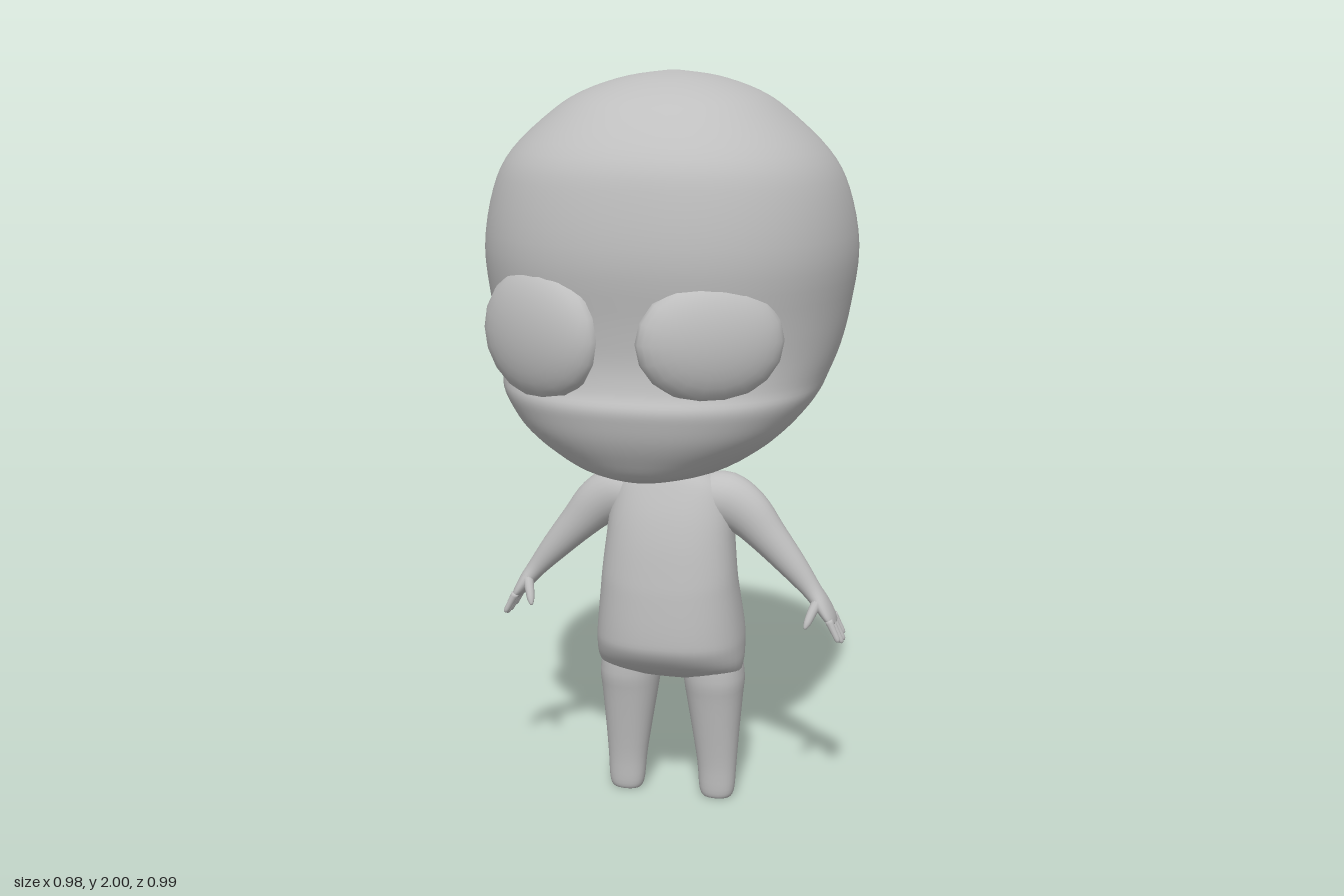
import * as THREE from 'three';

const skin = new THREE.MeshStandardMaterial({ color: 0xbfbfbf });
skin.name = 'plain grey';
skin.side = THREE.DoubleSide;

// Closed smooth skin over a stack of rings (arrays of Vector3)
function skinRings(rings) {
  const n = rings[0].length, pos = [], idx = [];
  rings.forEach(r => r.forEach(p => pos.push(p.x, p.y, p.z)));
  for (let i = 0; i < rings.length - 1; i++) for (let j = 0; j < n; j++) {
    const a = i * n + j, b = i * n + (j + 1) % n;
    idx.push(a, a + n, b, b, a + n, b + n);
  }
  [0, rings.length - 1].forEach((ri, end) => {
    const c = new THREE.Vector3();
    rings[ri].forEach(p => c.addScaledVector(p, 1 / n));
    const k = pos.length / 3;
    pos.push(c.x, c.y, c.z);
    for (let j = 0; j < n; j++) {
      const a = ri * n + j, b = ri * n + (j + 1) % n;
      if (end) idx.push(a, k, b); else idx.push(a, b, k);
    }
  });
  const g = new THREE.BufferGeometry();
  g.setAttribute('position', new THREE.Float32BufferAttribute(pos, 3));
  g.setIndex(idx);
  g.computeVertexNormals();
  return g;
}

// Catmull-Rom interpolation between rows of numbers
function smoothRows(rows, steps) {
  const out = [], last = rows.length - 1;
  const row = i => rows[Math.min(Math.max(i, 0), last)];
  for (let i = 0; i < last; i++) for (let s = 0; s < steps; s++) {
    const t = s / steps, [a, b, c, d] = [row(i - 1), row(i), row(i + 1), row(i + 2)];
    out.push(b.map((v, k) => v + 0.5 * t * (c[k] - a[k] +
      t * (2 * a[k] - 5 * v + 4 * c[k] - d[k] + t * (3 * (v - c[k]) + d[k] - a[k])))));
  }
  out.push(rows[last]);
  return out;
}

// Rows are [y, xCentre, halfWidth, zFront, zBack], from bottom to top
function stack(rows, nFront, nBack, seg, steps) {
  const pw = (v, n) => Math.sign(v) * Math.pow(Math.abs(v), 2 / n);
  return skinRings(smoothRows(rows, steps).map(([y, x, w, f, b]) =>
    Array.from({ length: seg }, (_, j) => {
      const t = j / seg * Math.PI * 2, c = Math.cos(t), s = Math.sin(t);
      const n = s > 0 ? nFront : nBack;
      return new THREE.Vector3(x + w * pw(c, n), y, (f + b) / 2 + (f - b) / 2 * pw(s, n));
    })));
}

// Tapered limb; rows are [x, y, z, radius in the front plane, radius in depth]
function limb(rows, side, seg, steps) {
  const r = smoothRows(rows.map(([x, ...q]) => [x * side, ...q]), steps);
  const pts = r.map(p => new THREE.Vector3(p[0], p[1], p[2]));
  return skinRings(pts.map((p, i) => {
    const T = pts[Math.min(i + 1, pts.length - 1)].clone().sub(pts[Math.max(i - 1, 0)]).normalize();
    const U = T.clone().cross(new THREE.Vector3(0, 0, 1)).normalize(), V = U.clone().cross(T);
    return Array.from({ length: seg }, (_, j) => {
      const t = j / seg * Math.PI * 2;
      return p.clone().addScaledVector(U, Math.cos(t) * r[i][3]).addScaledVector(V, Math.sin(t) * r[i][4]);
    });
  }));
}

export function createModel() {
  const model = new THREE.Group();
  const add = (name, geometry) => {
    const m = new THREE.Mesh(geometry, skin);
    m.name = name;
    model.add(m);
    return m;
  };

  // Large rounded head, deeper at the crown and tapering to the chin
  add('head', stack([
    [0.963, 0, 0.03, 0.26, 0.06], [0.975, 0, 0.1, 0.34, -0.03], [1.0, 0, 0.2, 0.395, -0.07],
    [1.05, 0, 0.285, 0.432, -0.09], [1.1, 0, 0.345, 0.458, -0.125], [1.15, 0, 0.39, 0.473, -0.2],
    [1.19, 0, 0.417, 0.478, -0.265], [1.23, 0, 0.432, 0.46, -0.315], [1.3, 0, 0.455, 0.45, -0.385],
    [1.4, 0, 0.475, 0.458, -0.445], [1.55, 0, 0.492, 0.477, -0.482], [1.7, 0, 0.465, 0.46, -0.45],
    [1.8, 0, 0.412, 0.425, -0.395], [1.9, 0, 0.305, 0.33, -0.3], [1.95, 0, 0.225, 0.245, -0.225],
    [1.985, 0, 0.12, 0.135, -0.125], [2.0, 0, 0.015, 0.02, -0.015],
  ], 2.2, 1.88, 64, 4));

  // Torso running up through the neck
  add('torso', stack([
    [0.352, 0, 0.1, 0.05, -0.04], [0.365, 0, 0.185, 0.085, -0.065], [0.4, 0, 0.203, 0.14, -0.09],
    [0.45, 0, 0.206, 0.178, -0.128], [0.5, 0, 0.204, 0.184, -0.135], [0.6, 0, 0.193, 0.178, -0.107],
    [0.66, 0, 0.187, 0.171, -0.09], [0.75, 0, 0.178, 0.156, -0.095], [0.83, 0, 0.17, 0.135, -0.103],
    [0.9, 0, 0.148, 0.108, -0.085], [0.938, 0, 0.1, 0.09, -0.06], [0.96, 0, 0.06, 0.078, -0.055],
    [1.0, 0, 0.05, 0.076, -0.057], [1.06, 0, 0.06, 0.08, -0.075],
  ], 2.3, 2.3, 40, 4));

  for (const [side, label] of [[1, 'left'], [-1, 'right']]) {
    // Tapered legs ending in blunt stumps
    add(label + 'Leg', stack([
      [0, 0.13, 0.034, 0.045, -0.005], [0.006, 0.131, 0.043, 0.053, -0.014], [0.03, 0.131, 0.05, 0.058, -0.02],
      [0.1, 0.13, 0.055, 0.062, -0.03], [0.2, 0.126, 0.066, 0.076, -0.046], [0.3, 0.122, 0.078, 0.092, -0.065],
      [0.36, 0.12, 0.084, 0.102, -0.075], [0.45, 0.11, 0.08, 0.1, -0.08],
    ].map(([y, x, ...r]) => [y, x * side, ...r]), 2.2, 2.2, 28, 3));

    // Arm flowing into the palm
    add(label + 'Arm', limb([
      [0.09, 0.865, 0.01, 0.065, 0.07], [0.15, 0.86, 0.01, 0.076, 0.07], [0.21, 0.828, 0.015, 0.068, 0.058],
      [0.27, 0.767, 0.018, 0.053, 0.047], [0.34, 0.69, 0.02, 0.039, 0.037], [0.392, 0.628, 0.022, 0.027, 0.03],
      [0.42, 0.592, 0.022, 0.022, 0.04], [0.443, 0.558, 0.022, 0.016, 0.043], [0.455, 0.54, 0.022, 0.009, 0.034],
    ], side, 24, 4));

    // Four fingers spread along the depth of the palm, and a thumb in front
    for (let i = 0; i < 4; i++) {
      const z = -0.012 + i * 0.023, reach = i === 0 || i === 3 ? 0.85 : 1;
      const end = k => [0.447 + 0.034 * k * reach, 0.555 - 0.066 * k * reach, z + (i - 1.5) * 0.003 * k];
      add(label + 'Finger', limb([
        [...end(0), 0.011, 0.011], [...end(0.5), 0.009, 0.0095],
        [...end(0.9), 0.0075, 0.008], [...end(1), 0.003, 0.003],
      ], side, 10, 3));
    }
    add(label + 'Thumb', limb([
      [0.415, 0.605, 0.04, 0.016, 0.016], [0.402, 0.575, 0.062, 0.013, 0.013],
      [0.393, 0.55, 0.078, 0.01, 0.01], [0.388, 0.536, 0.086, 0.004, 0.004],
    ], side, 12, 3));

    // Bulging eye domes set into the face, slightly uneven
    const left = side > 0;
    const dome = new THREE.SphereGeometry(1, 18, 8, 0, Math.PI * 2, 0, Math.PI / 2);
    dome.rotateX(Math.PI / 2);
    const eye = add(label + 'Eye', dome);
    eye.scale.set(left ? 0.188 : 0.195, left ? 0.153 : 0.17, 0.075);
    eye.position.set(left ? 0.203 : -0.238, 1.36, left ? 0.398 : 0.388);
    eye.rotation.y = side * 0.47;
  }
  return model;
}
